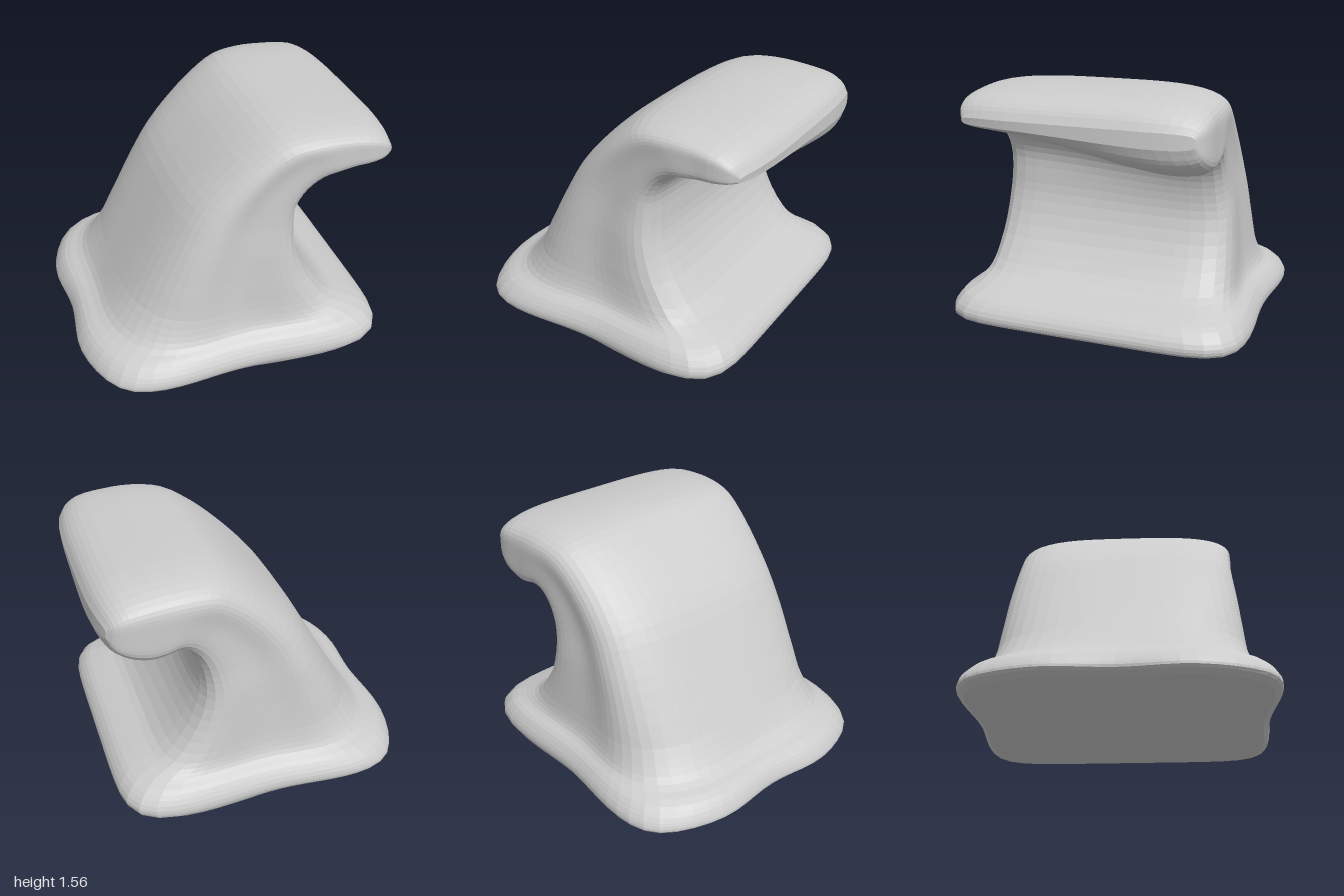
import * as THREE from 'three';

// Stations from the base up to the curling lip:
// [back x, back y, front x, front y, half width, rise of the front edge on the +z side (dx, dy)]
const STATIONS = [
  [-0.93, 0.01, 0.62, 0.00, 0.91, 0, 0],
  [-0.99, 0.05, 0.93, 0.065, 0.965, 0, 0],
  [-0.98, 0.10, 0.945, 0.12, 0.965, 0, 0],
  [-0.93, 0.17, 0.89, 0.20, 0.92, 0, 0],
  [-0.81, 0.23, 0.79, 0.25, 0.85, 0, 0],
  [-0.72, 0.35, 0.65, 0.31, 0.815, 0, 0],
  [-0.60, 0.56, 0.49, 0.50, 0.79, 0, 0],
  [-0.45, 0.83, 0.40, 0.72, 0.77, -0.01, 0.01],
  [-0.30, 1.08, 0.395, 0.87, 0.75, -0.03, 0.03],
  [-0.13, 1.27, 0.43, 1.00, 0.745, -0.06, 0.05],
  [0.05, 1.43, 0.49, 1.08, 0.75, -0.06, 0.08],
  [0.22, 1.53, 0.56, 1.105, 0.76, -0.04, 0.12],
  [0.42, 1.56, 0.65, 1.085, 0.77, -0.02, 0.17],
  [0.65, 1.55, 0.74, 1.075, 0.77, 0.01, 0.20],
  [0.86, 1.51, 0.87, 1.12, 0.77, -0.01, 0.17],
  [0.95, 1.45, 0.96, 1.19, 0.75, -0.02, 0.12],
  [0.99, 1.38, 0.995, 1.28, 0.71, -0.01, 0.05],
];
const RINGS = 48;
const SIDES = 72;

const track = (a, b, c) => new THREE.CatmullRomCurve3(
  STATIONS.map((s) => new THREE.Vector3(s[a], s[b], c === undefined ? 0 : s[c])));

function waveGeometry() {
  const back = track(0, 1, 4);
  const front = track(2, 3);
  const rise = track(5, 6);
  const positions = [];
  const index = [];

  // Rounded-square cross-sections spanning from the back edge to the front edge
  for (let j = 0; j <= RINGS; j++) {
    const t = j / RINGS;
    const b = back.getPoint(t), f = front.getPoint(t), r = rise.getPoint(t);
    const foot = Math.max(0, 1 - t * 3);
    const lip = THREE.MathUtils.smoothstep(t, 0.6, 1);
    const hollow = 0.045 * (1 - THREE.MathUtils.smoothstep(t, 0.4, 0.8));
    for (let i = 0; i < SIDES; i++) {
      const a = (i / SIDES) * Math.PI * 2;
      const c = Math.cos(a), s = Math.sin(a);
      // Soft corners at the back, crisper ones at the front
      const n = c > 0 ? 7 : 3.3 + 2 * foot + 1.2 * lip;
      const k = (Math.abs(c) ** n + Math.abs(s) ** n) ** (-1 / n);
      const u = c * k;
      // Hollow the side walls slightly in the middle
      const z = s * k * b.z * (1 - hollow * Math.exp(-((u / 0.4) ** 2)));
      const lift = THREE.MathUtils.smoothstep(z, -0.65, 0.6);
      const m = (u + 1) / 2;
      // Shallow ripples along the back of the foot, lip drawn back at both ends
      const ripple = 0.022 * Math.cos(z * 8) * (1 - m) * foot;
      const draw = 0.07 * lip * (z / 0.75) ** 4;
      positions.push(
        THREE.MathUtils.lerp(b.x, f.x + r.x * lift, m) + ripple - draw,
        Math.max(0, THREE.MathUtils.lerp(b.y, f.y + r.y * lift, m)),
        z);
    }
  }
  for (let j = 0; j < RINGS; j++) {
    for (let i = 0; i < SIDES; i++) {
      const p = j * SIDES + i, q = j * SIDES + (i + 1) % SIDES;
      index.push(p, p + SIDES, q, q, p + SIDES, q + SIDES);
    }
  }

  // Flat underside
  const bottom = positions.length / 3;
  positions.push(-0.1, 0, 0);
  for (let i = 0; i < SIDES; i++) index.push(bottom, i, (i + 1) % SIDES);

  // Close the tip of the lip with a strip between its lower and upper edges
  const last = RINGS * SIDES;
  for (let i = -SIDES / 4; i < SIDES / 4; i++) {
    const low = last + (i + SIDES) % SIDES, lowNext = last + (i + 1 + SIDES) % SIDES;
    const high = last + SIDES / 2 - i;
    index.push(high, lowNext, low, high, high - 1, lowNext);
  }

  const geometry = new THREE.BufferGeometry();
  geometry.setAttribute('position', new THREE.Float32BufferAttribute(positions, 3));
  geometry.setIndex(index);
  geometry.computeVertexNormals();
  return geometry;
}

export function createModel() {
  const group = new THREE.Group();
  group.name = 'waveSculpture';
  const material = new THREE.MeshStandardMaterial({ color: 0xcccccc, flatShading: true });
  const wave = new THREE.Mesh(waveGeometry(), material);
  wave.name = 'curlingWave';
  group.add(wave);
  return group;
}
